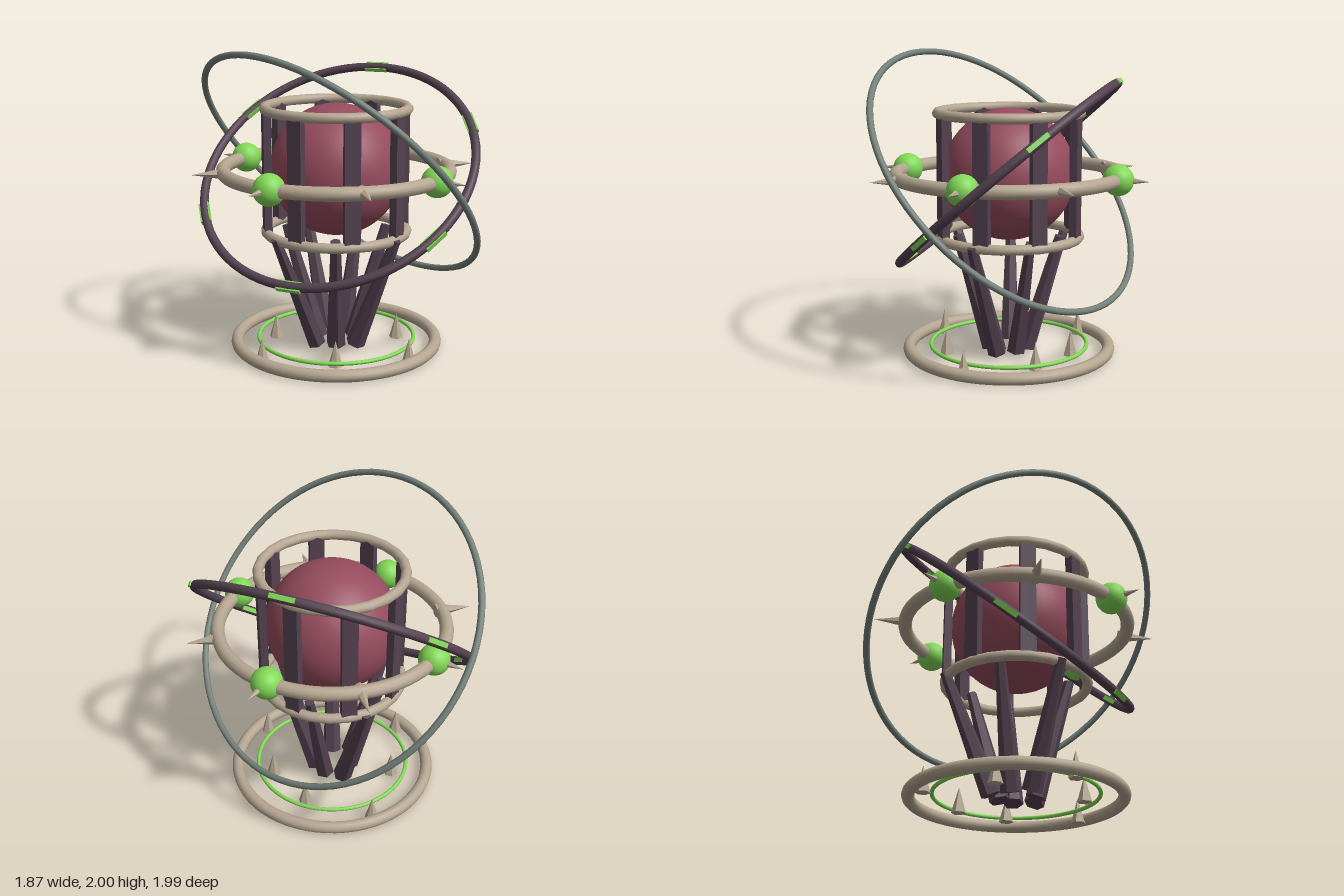
import * as THREE from 'three';

const mat = (name, color) => {
  const m = new THREE.MeshStandardMaterial({ color });
  m.name = name;
  return m;
};

export function createModel() {
  const bone = mat('bone', 0xb5a691);
  const plum = mat('dark plum', 0x544250);
  const steel = mat('grey steel', 0x74807a);
  const green = mat('glowing green', 0x82d856);
  const crimson = mat('crimson', 0x964c5e);

  const model = new THREE.Group();
  const UP = new THREE.Vector3(0, 1, 0);

  const add = (name, geometry, material, parent = model) => {
    const mesh = new THREE.Mesh(geometry, material);
    mesh.name = name;
    parent.add(mesh);
    return mesh;
  };
  // Torus lying flat, axis along y
  const flatRing = (R, t, segs = 64) => new THREE.TorusGeometry(R, t, 12, segs).rotateX(Math.PI / 2);
  const ring = (name, R, t, y, material, segs) => {
    const mesh = add(name, flatRing(R, t, segs), material);
    mesh.position.y = y;
    return mesh;
  };
  // Point on a horizontal circle
  const polar = (r, a, y) => new THREE.Vector3(r * Math.cos(a), y, r * Math.sin(a));
  // Tapered post from a to b
  const post = (name, a, b, ra, rb, sides, material) => {
    const dir = b.clone().sub(a);
    const geo = new THREE.CylinderGeometry(rb, ra, dir.length(), sides).toNonIndexed();
    geo.computeVertexNormals();
    const mesh = add(name, geo, material);
    mesh.position.copy(a).add(b).multiplyScalar(0.5);
    mesh.quaternion.setFromUnitVectors(UP, dir.normalize());
    return mesh;
  };

  // Base
  ring('baseRing', 0.665, 0.04, 0.04, bone);
  ring('baseGlowRing', 0.52, 0.013, 0.06, green);

  // Seven base spikes and seven splayed legs, alternating in reach
  for (let k = 0; k < 7; k++) {
    const a = (k / 7) * Math.PI * 2;
    const odd = k % 2;
    const r = odd ? 0.6 : 0.42;
    post('baseSpike', polar(r, a, 0.005), polar(r, a, 0.175), 0.048, 0, 6, bone);
    post('leg', polar(odd ? 0.165 : 0.12, a, 0.04), polar(odd ? 0.485 : 0.34, a, 0.805), 0.065, 0.033, 6, plum);
  }

  // Caged core
  add('core', new THREE.SphereGeometry(0.43, 48, 32), crimson).position.y = 1.2;
  ring('cageTopRing', 0.463, 0.033, 1.6, bone, 24);
  ring('cageBottomRing', 0.463, 0.033, 0.793, bone, 24);
  for (let k = 0; k < 8; k++) {
    const a = (k / 8) * Math.PI * 2;
    const bar = add('cageBar', new THREE.BoxGeometry(0.05, 0.8, 0.1), plum);
    bar.position.copy(polar(0.455, a, 1.197));
    bar.rotation.y = -a;
  }

  // Level ring with spikes, and orbs on the diagonals
  ring('levelRing', 0.735, 0.045, 1.2, bone);
  for (let k = 0; k < 8; k++) {
    const a = (k / 8) * Math.PI * 2;
    post('ringSpike', polar(0.695, a, 1.2), polar(0.937, a, 1.2), 0.045, 0, 6, bone);
    if (k % 2) add('orb', new THREE.SphereGeometry(0.1, 24, 16), green).position.copy(polar(0.735, a, 1.2));
  }

  // Tilted orbit rings; local z points to the highest point of the ring
  const orbit = (name, R, t, normal, material) => {
    const n = new THREE.Vector3(...normal).normalize();
    const high = UP.clone().addScaledVector(n, -n.y).normalize();
    const side = new THREE.Vector3().crossVectors(n, high);
    const group = new THREE.Group();
    group.name = name;
    group.position.y = 1.2;
    group.quaternion.setFromRotationMatrix(new THREE.Matrix4().makeBasis(side, n, high));
    add(name + 'Hoop', flatRing(R, t, 80), material, group);
    model.add(group);
    return group;
  };
  orbit('outerOrbit', 1.048, 0.021, [0.642, 0.671, -0.371], steel);
  const inner = orbit('innerOrbit', 0.913, 0.029, [-0.387, 0.757, 0.525], plum);

  // Six glowing inlays around the inner orbit
  for (let k = 0; k < 6; k++) {
    const a = (k / 6) * Math.PI * 2;
    const inlay = add('orbitInlay', new THREE.BoxGeometry(0.16, 0.03, 0.066), green, inner);
    inlay.position.set(0.913 * Math.sin(a), 0, 0.913 * Math.cos(a));
    inlay.rotation.y = a;
  }

  return model;
}
